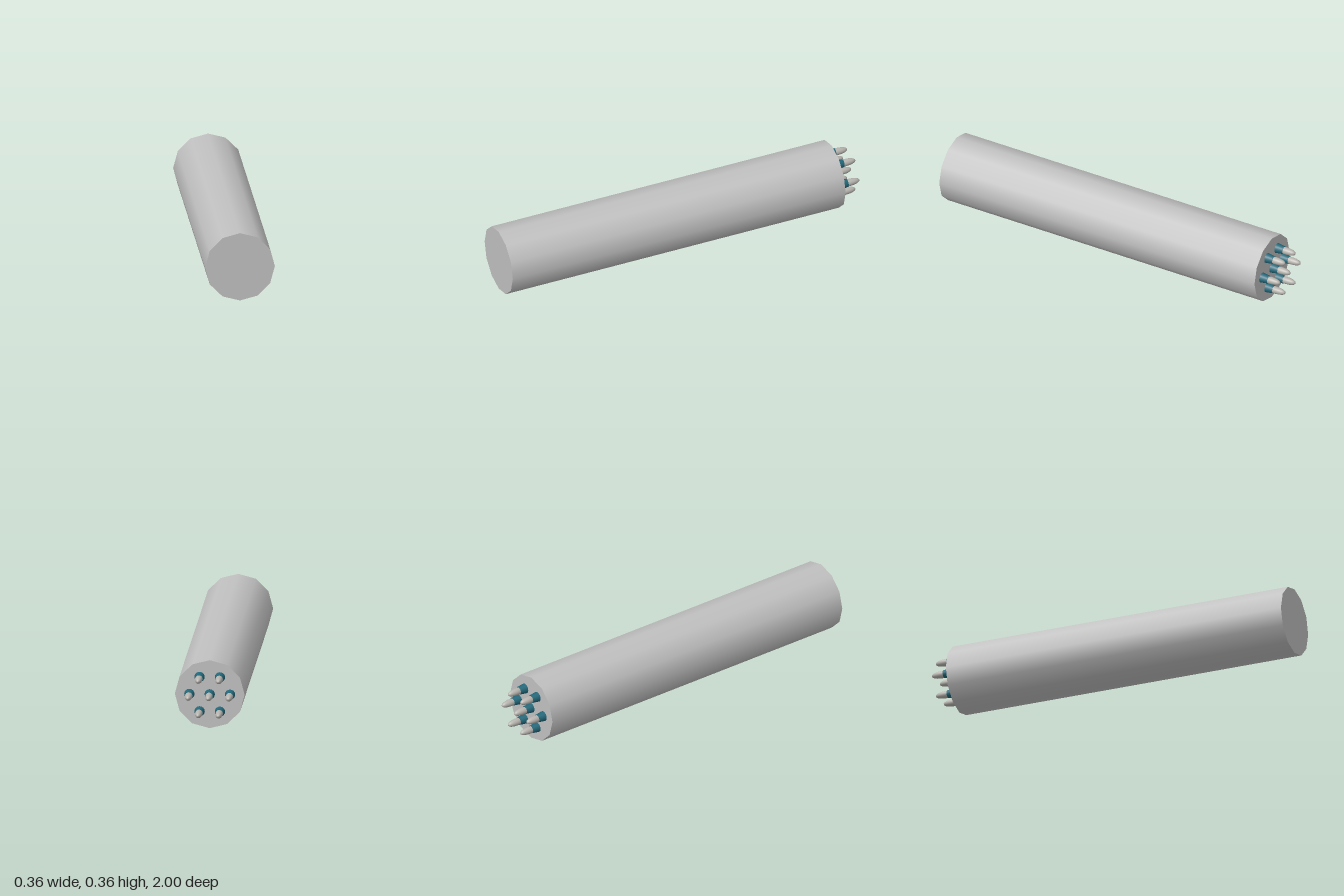
import * as THREE from 'three';

export function createModel() {
  const group = new THREE.Group();
  const mat = (name, color) => {
    const m = new THREE.MeshStandardMaterial({ color });
    m.name = name;
    return m;
  };
  const casingGrey = mat('casingGrey', 0xc0c0c0);
  const collarTeal = mat('collarTeal', 0x22687a);
  const tipGrey = mat('tipGrey', 0xb8b5b0);

  const R = 0.182;     // casing radius
  const backZ = -0.89; // rear end of the casing

  // Long twelve-sided casing with smooth walls and flat caps
  const casingGeo = new THREE.CylinderGeometry(R, R, 1 - backZ, 12);
  casingGeo.rotateX(-Math.PI / 2);
  const casing = new THREE.Mesh(casingGeo, casingGrey);
  casing.name = 'casing';
  casing.position.set(0, R, (1 + backZ) / 2);
  group.add(casing);

  // Collar tapers away from the rear cap
  const collarGeo = new THREE.CylinderGeometry(0.021, 0.027, 0.042, 16);
  collarGeo.rotateX(-Math.PI / 2);
  collarGeo.translate(0, 0, -0.021);

  // Rounded bullet tip
  const profile = [[0.0185, 0.035], [0.0195, 0.05], [0.019, 0.065], [0.0175, 0.08],
    [0.0145, 0.094], [0.01, 0.104], [0.005, 0.109], [0, 0.11]];
  const tipGeo = new THREE.LatheGeometry(profile.map(([r, h]) => new THREE.Vector2(r, h)), 16);
  tipGeo.rotateX(-Math.PI / 2);

  const addPin = (x, y) => {
    const pin = new THREE.Group();
    pin.name = 'pin';
    const collar = new THREE.Mesh(collarGeo, collarTeal);
    collar.name = 'pinCollar';
    const tip = new THREE.Mesh(tipGeo, tipGrey);
    tip.name = 'pinTip';
    pin.add(collar, tip);
    pin.position.set(x, R + y, backZ);
    group.add(pin);
  };

  // One central pin and a ring of six
  addPin(0, 0);
  for (let i = 0; i < 6; i++) {
    const a = (i * Math.PI) / 3;
    addPin(0.106 * Math.cos(a), 0.106 * Math.sin(a));
  }
  return group;
}
